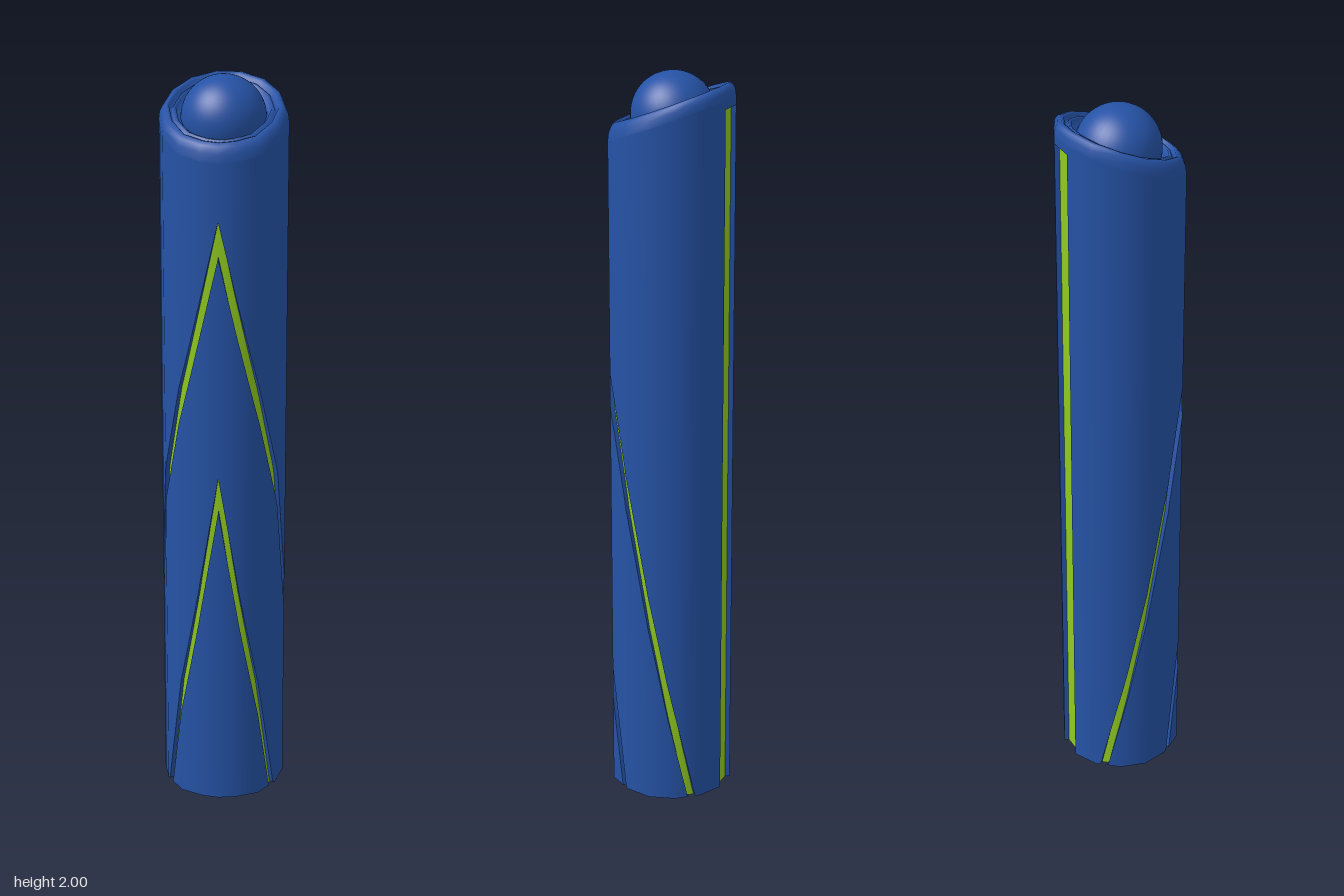
import * as THREE from 'three';

const blue = new THREE.MeshStandardMaterial({ color: 0x2552a5, side: THREE.DoubleSide });
const green = new THREE.MeshStandardMaterial({ color: 0x8fc920, side: THREE.DoubleSide });
const SLOPE = 0.39, PLANE_Y = 1.918, RECESS = 0.93, HALF = 0.047, STRIP_TOP = 1.92;

// Outline corners on one side: angle from the front in degrees, radius
const half = [[17, 0.162], [39.5, 0.166], [67, 0.163], [93, 0.167], [118, 0.166], [143.5, 0.168], [168.5, 0.17]];
const outline = [...half.map(([a, r]) => [-a, r]).reverse(), [0, 0.163], ...half]
  .map(([a, r]) => {
    const t = THREE.MathUtils.degToRad(a);
    return new THREE.Vector2(r * Math.sin(t), r * Math.cos(t));
  });

// Centre lines of the two chevron grooves: angle, height
const lowerPath = [[0, 0.915], [20, 0.575], [45, 0.22], [61, 0], [180, -1.8]];
const upperPath = [[0, 1.615], [17.5, 1.4], [40, 1.15], [65, 0.92], [90, 0.6], [111, 0.3], [135, 0], [180, -0.6]];

function heightAt(path, angle) {
  const i = Math.max(1, path.findIndex(p => p[0] >= angle));
  const [a0, y0] = path[i - 1], [a1, y1] = path[i];
  return y0 + (y1 - y0) * (angle - a0) / (a1 - a0);
}

const planeAt = z => PLANE_Y - SLOPE * z;

// Surface through rows of points, listed from low to high
function skin(name, rows, material, { closed = false, radial = false } = {}) {
  const n = rows[0].length, pts = rows.flat(), index = [];
  for (let i = 0; i < rows.length - 1; i++) {
    for (let j = 0; j < (closed ? n : n - 1); j++) {
      const k = (j + 1) % n;
      const q = [i * n + j, i * n + k, (i + 1) * n + k, (i + 1) * n + j];
      if (q.every(v => pts[v].y <= 0)) continue;
      index.push(q[0], q[1], q[2], q[0], q[2], q[3]);
    }
  }
  const geo = new THREE.BufferGeometry().setFromPoints(pts);
  geo.setIndex(index);
  geo.computeVertexNormals();
  if (radial) pts.forEach((p, i) => {
    const l = Math.hypot(p.x, p.z);
    geo.attributes.normal.setXYZ(i, p.x / l, 0, p.z / l);
  });
  const mesh = new THREE.Mesh(geo, material);
  mesh.name = name;
  return mesh;
}

export function createModel() {
  const group = new THREE.Group();
  group.name = 'tube';

  // Fine columns along the faceted outline
  const STEPS = 16, columns = [];
  for (let i = 0; i < outline.length - 1; i++)
    for (let s = 0; s < STEPS; s++) columns.push(outline[i].clone().lerp(outline[i + 1], s / STEPS));
  columns.push(outline[outline.length - 1]);

  const row = (heightFn, scale = 1) => columns.map(c => {
    const angle = Math.abs(THREE.MathUtils.radToDeg(Math.atan2(c.x, c.y)));
    return new THREE.Vector3(c.x * scale, Math.max(0, heightFn(angle, c)), c.y * scale);
  });

  // Wall and recessed chevrons, from the bottom up
  let below = () => 0;
  for (const [label, path] of [['lower', lowerPath], ['upper', upperPath]]) {
    const lo = a => heightAt(path, a) - HALF, hi = a => heightAt(path, a) + HALF;
    group.add(
      skin(label + 'Wall', [row(below), row(lo)], blue, { radial: true }),
      skin(label + 'GrooveLedge', [row(lo), row(lo, RECESS)], blue),
      skin(label + 'Chevron', [row(lo, RECESS), row(hi, RECESS)], green, { radial: true }),
      skin(label + 'GrooveLip', [row(hi, RECESS), row(hi)], blue));
    below = hi;
  }
  group.add(skin('topWall', [row(below), row((a, c) => planeAt(c.y) - 0.04)], blue, { radial: true }));

  // Recessed stripe down the back
  const right = outline[0], left = outline[outline.length - 1];
  const inset = c => new THREE.Vector2(c.x * 0.83, c.y * RECESS);
  const at = (y, ...cs) => cs.map(c => new THREE.Vector3(c.x, y, c.y));
  const strip = (name, a, b, mat) => group.add(skin(name, [at(0, a, b), at(STRIP_TOP, a, b)], mat));
  strip('backStripe', inset(left), inset(right), green);
  strip('backStripeLeftEdge', left, inset(left), blue);
  strip('backStripeRightEdge', inset(right), right, blue);
  group.add(
    skin('backStripeTopEdge', [at(STRIP_TOP, inset(left), inset(right)), at(STRIP_TOP, left, right)], blue),
    skin('backTopWall', [at(STRIP_TOP, left, right), at(planeAt(left.y) - 0.04, left, right)], blue, { radial: true }));

  // Slanted rim with stepped rings: radius scale, offset from the slanted plane
  const rim = [[1, -0.04], [0.985, -0.02], [0.94, -0.005], [0.88, 0], [0.84, -0.003], [0.825, -0.014],
    [0.79, -0.014], [0.775, -0.006], [0.73, -0.007], [0.715, -0.022], [0.6, -0.024]];
  group.add(skin('rim', rim.map(([s, d]) => outline.map(c =>
    new THREE.Vector3(c.x * s, planeAt(c.y * s) + d, c.y * s))), blue, { closed: true }));

  // Domed button tilted with the rim
  const dome = new THREE.Mesh(new THREE.SphereGeometry(0.11, 40, 16, 0, Math.PI * 2, 0, Math.PI / 2), blue);
  dome.name = 'dome';
  dome.position.set(0, 1.89, -0.007);
  dome.rotation.x = Math.atan(SLOPE);
  group.add(dome);

  return group;
}
